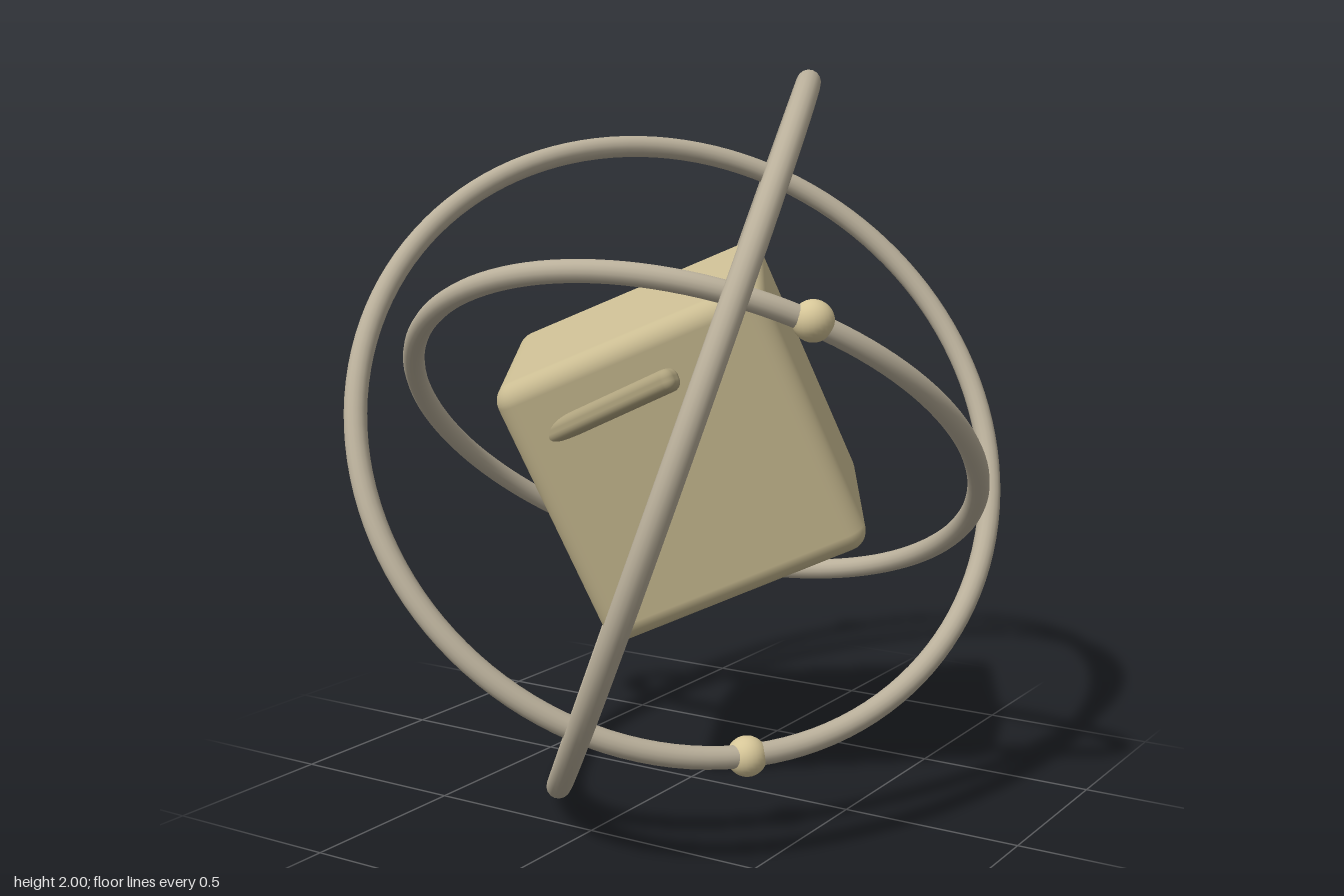
import * as THREE from 'three';
import { RoundedBoxGeometry } from 'three/addons/geometries/RoundedBoxGeometry.js';

const V = (p) => new THREE.Vector3(...p);

function mat(name, color) {
  const m = new THREE.MeshStandardMaterial({ color });
  m.name = name;
  return m;
}

export function createModel() {
  const model = new THREE.Group();
  model.name = 'orbitingCube';

  const stone = mat('warm stone', 0xcabc92);
  const ringMetal = mat('grey beige', 0xb9af9a);
  const beadGold = mat('pale gold', 0xd6c698);
  const slotTan = mat('dull tan', 0xafa37e);

  function add(parent, name, geometry, material) {
    const mesh = new THREE.Mesh(geometry, material);
    mesh.name = name;
    parent.add(mesh);
    return mesh;
  }

  // Tilted cube with softened edges, oriented by its own right and up axes
  const right = V([0.60, 0.29, -0.31]).normalize();
  const front = right.clone().cross(V([-0.19, 0.70, 0.22])).normalize();
  const up = front.clone().cross(right);
  const cube = add(model, 'cubeBody', new RoundedBoxGeometry(0.765, 0.785, 0.65, 4, 0.055), stone);
  cube.quaternion.setFromRotationMatrix(new THREE.Matrix4().makeBasis(right, up, front));
  cube.position.set(-0.018, 0.99, 0.002);

  // Slanted bar, partly sunk into the front face
  const bar = add(model, 'frontBar', new RoundedBoxGeometry(0.47, 0.062, 0.066, 4, 0.026), slotTan);
  bar.position.set(0.012, 1.125, 0.435);
  bar.rotation.z = 0.43;

  // Three tilted rings, each carrying one bead
  const rings = [
    { name: 'outer', radius: 1.023, tube: 0.033, center: [-0.02, 1.0, 0.012],
      normal: [-0.82, 0.332, 0.466], bead: [-0.53, 1.04, -0.89], beadRadius: 0.056 },
    { name: 'middle', radius: 0.917, tube: 0.031, center: [-0.006, 1.004, 0.014],
      normal: [0.671, 0.517, 0.531], bead: [0.36, 0.215, 0.30], beadRadius: 0.054 },
    { name: 'inner', radius: 0.806, tube: 0.03, center: [-0.003, 0.99, -0.004],
      normal: [-0.1, 0.78, -0.62], bead: [0.59, 1.38, 0.385], beadRadius: 0.053 },
  ];
  for (const r of rings) {
    const group = new THREE.Group();
    group.name = r.name + 'Orbit';
    model.add(group);
    const ring = add(group, r.name + 'Ring', new THREE.TorusGeometry(r.radius, r.tube, 16, 128), ringMetal);
    ring.position.set(...r.center);
    ring.quaternion.setFromUnitVectors(V([0, 0, 1]), V(r.normal).normalize());
    const bead = add(group, r.name + 'Bead', new THREE.SphereGeometry(r.beadRadius, 24, 16), beadGold);
    bead.position.set(...r.bead);
  }
  return model;
}
